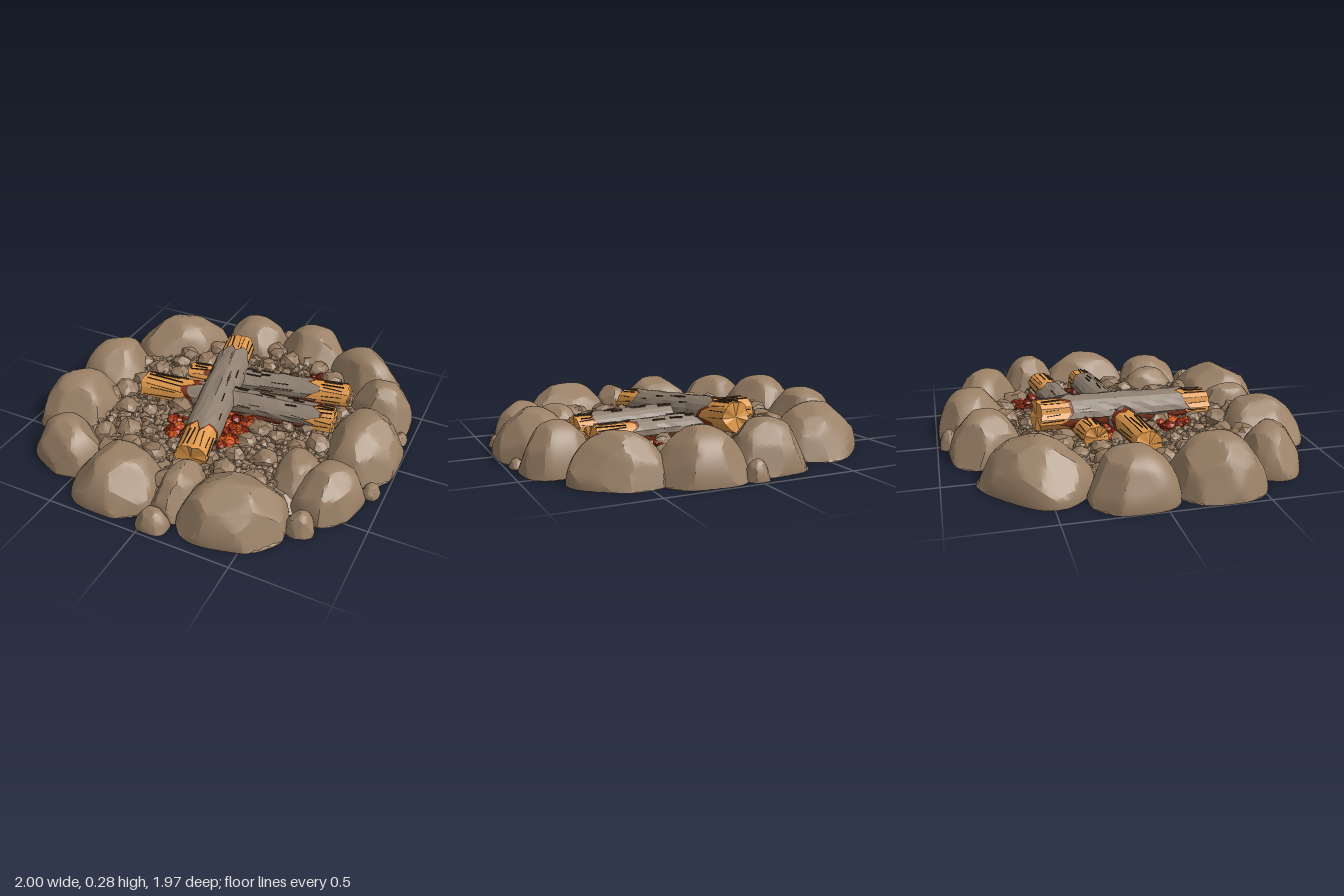
import * as THREE from 'three';
import { mergeGeometries, mergeVertices, toCreasedNormals } from 'three/addons/utils/BufferGeometryUtils.js';

const mat = (name, color, extra = {}) => Object.assign(new THREE.MeshStandardMaterial({ color, ...extra }), { name });

// small seeded random generator
let seed = 7;
const rnd = (a = 0, b = 1) => {
  seed = (seed * 16807) % 2147483647;
  return a + (b - a) * (seed / 2147483647);
};

function add(parent, name, geo, material) {
  const mesh = new THREE.Mesh(geo, material);
  mesh.name = name;
  parent.add(mesh);
  return mesh;
}

// boulder: tapering dome with a rounded-box plan, trimmed by random planes, flat on the ground
function boulderGeometry(rx, rz, h) {
  const cuts = [];
  for (let i = 0; i < 16; i++) {
    const n = new THREE.Vector3(rnd(-1, 1), rnd(0.15, 0.9), rnd(-1, 1)).normalize();
    cuts.push({ n, d: rnd(0.92, 1.02) });
  }
  const geo = new THREE.IcosahedronGeometry(1, 9);
  geo.deleteAttribute('normal');
  geo.deleteAttribute('uv');
  const pos = geo.attributes.position, v = new THREE.Vector3(), p = 3, lift = h * 0.07;
  for (let i = 0; i < pos.count; i++) {
    v.fromBufferAttribute(pos, i).normalize();
    const plan = (Math.abs(v.x) ** p + Math.abs(v.z) ** p) ** (1 / p);
    let r = (plan ** 2.2 + Math.abs(v.y) ** 2.2) ** (-1 / 2.2);
    for (const { n, d } of cuts) {
      const c = n.dot(v);
      if (c > 0.1) r = Math.min(r, d / c);
    }
    const taper = 1 - 0.12 * Math.max(0, v.y * r);
    pos.setXYZ(i, v.x * r * rx * taper, Math.max(0, lift + v.y * r * (h - lift)), v.z * r * rz * taper);
  }
  return toCreasedNormals(mergeVertices(geo, 1e-4), 0.3);
}

// small angular lump
function lumpGeometry(x, y, z, r, detail = 0) {
  const geo = mergeVertices(new THREE.IcosahedronGeometry(r, detail).deleteAttribute('normal').deleteAttribute('uv'), 1e-5);
  const pos = geo.attributes.position;
  for (let i = 0; i < pos.count; i++) {
    const k = rnd(0.8, 1.15);
    pos.setXYZ(i, pos.getX(i) * k, pos.getY(i) * k * 0.8, pos.getZ(i) * k);
  }
  geo.rotateY(rnd(0, 6.28)).translate(x, y, z);
  return geo;
}

// log along local x: ridged wood core, charred layer, ragged bark on the upper side, cracks
function buildLog(name, a, b, r, endA, endB, charA, charB, m) {
  const log = new THREE.Group();
  log.name = name;
  const start = new THREE.Vector3(...a), end = new THREE.Vector3(...b);
  const len = start.distanceTo(end), sides = 18, half = len / 2;
  log.position.copy(start).add(end).multiplyScalar(0.5);
  // turn first about y, then tilt, so local y stays upward
  const dir = end.clone().sub(start).normalize();
  log.rotation.set(0, Math.atan2(-dir.z, dir.x), Math.asin(dir.y), 'YXZ');
  const shape = Array.from({ length: sides }, () => rnd(0.92, 1.07));
  const ragA = Array.from({ length: sides }, () => rnd(-0.055, 0.055));
  const ragB = Array.from({ length: sides }, () => rnd(-0.055, 0.055));

  const tube = (x0, x1, k, under, ragged, ridge, open) => {
    const geo = new THREE.CylinderGeometry(1, 1, 1, sides, 10, open).rotateZ(-Math.PI / 2);
    const pos = geo.attributes.position;
    const bump = Array.from({ length: sides * 11 }, () => rnd(0.955, 1.04));
    for (let i = 0; i < pos.count; i++) {
      const x = pos.getX(i), y = pos.getY(i), z = pos.getZ(i), t = x + 0.5;
      const s = (Math.round(Math.atan2(z, y) / (2 * Math.PI) * sides) + sides) % sides;
      const q = r * (y < -0.2 ? under : k) * shape[s] * (ridge ? (s % 2 ? 0.92 : 1) : bump[s * 11 + Math.round(t * 10)]);
      const rag = ragged * (ragA[s] * (1 - t) + ragB[s] * t);
      pos.setXYZ(i, x0 + (x1 - x0) * t + rag, y * q * 0.95, z * q);
    }
    return geo;
  };
  add(log, 'wood', tube(-half, half, 0.95, 0.95, 0.2, true, false), m.wood);
  add(log, 'charredLayer', tube(-half + endA, half - endB, 0.98, 0.99, 1, false, true), m.char);
  add(log, 'bark', tube(-half + endA + charA, half - endB - charB, 1.05, 0.9, 1, false, true), m.bark);

  // thin dark strips running with the grain
  const strips = [];
  const strip = (x, ang, l, w, k) => {
    const g = new THREE.BoxGeometry(l, 0.008, w).rotateY(rnd(-0.1, 0.1));
    g.translate(x, r * k, 0).rotateX(ang);
    strips.push(g);
  };
  for (let i = 0; i < 16; i++) {
    strip(rnd(-half + endA + charA + 0.06, half - endB - charB - 0.06), rnd(-1.6, 1.6), rnd(0.04, 0.11), rnd(0.003, 0.008), 1);
  }
  for (const [s, e] of [[-1, endA], [1, endB]]) {
    for (let i = 0; i < 10; i++) strip(s * (half - e * 0.5), -1.6 + i * 0.36 + rnd(-0.1, 0.1), e * rnd(0.5, 0.95), 0.003, 0.895);
  }
  add(log, 'cracks', mergeGeometries(strips), m.crack);
  return log;
}

export function createModel() {
  const model = new THREE.Group();
  model.name = 'campfire';
  const m = {
    stone: mat('stone', 0x9a8066),
    pebble: mat('pebble', 0x94795f, { flatShading: true }),
    bark: mat('bark', 0x8c7d6d, { flatShading: true, side: THREE.DoubleSide }),
    wood: mat('cut wood', 0xdf984a, { flatShading: true }),
    char: mat('charred wood', 0x7a3018, { flatShading: true, side: THREE.DoubleSide }),
    crack: mat('dark crack', 0x4a3626),
    dim: mat('dim ember', 0x7a2210, { flatShading: true }),
    ember: mat('red ember', 0xa52f10, { flatShading: true }),
    hot: mat('hot ember', 0xdc5a1c, { flatShading: true }),
  };

  // ring of boulders: x, z, half width, half depth, height, turn
  const ring = new THREE.Group();
  ring.name = 'boulderRing';
  model.add(ring);
  [
    [-0.58, -0.55, 0.295, 0.215, 0.255, 0.75], [-0.15, -0.75, 0.205, 0.19, 0.25, 0.1],
    [0.22, -0.79, 0.215, 0.195, 0.25, -0.1], [0.59, -0.69, 0.23, 0.17, 0.24, -0.6],
    [0.78, -0.39, 0.18, 0.16, 0.25, 0.1], [0.80, -0.04, 0.20, 0.265, 0.25, 0],
    [0.75, 0.38, 0.16, 0.20, 0.21, -0.25], [0.57, 0.33, 0.13, 0.18, 0.19, 0.2],
    [0.38, 0.71, 0.27, 0.22, 0.24, 0.25], [0.09, 0.69, 0.115, 0.19, 0.21, -0.08],
    [-0.24, 0.75, 0.23, 0.225, 0.235, 0], [-0.62, 0.645, 0.205, 0.16, 0.235, -0.4],
    [-0.78, 0.30, 0.22, 0.235, 0.27, 0], [-0.80, -0.12, 0.20, 0.22, 0.255, 0],
    [-0.005, -0.93, 0.06, 0.055, 0.1, 0], [0.05, 0.915, 0.085, 0.07, 0.1, 0],
    [0.70, 0.63, 0.07, 0.07, 0.11, 0.4], [0.93, 0.235, 0.045, 0.055, 0.06, 0],
    [0.945, -0.25, 0.035, 0.05, 0.05, 0],
  ].forEach(([x, z, rx, rz, h, turn], i) => {
    const b = add(ring, 'boulder' + (i + 1), boulderGeometry(rx, rz, h), m.stone);
    b.position.set(x, 0, z);
    b.rotation.y = turn;
  });

  // ground under the fire
  add(model, 'groundBed', new THREE.CylinderGeometry(0.76, 0.84, 0.07, 40).translate(0, 0.035, 0), m.stone);

  // ember patches: x, z, half width, half depth, share of hot embers, share of dim embers
  const patches = [[0.32, -0.2, 0.31, 0.1, 0.12, 0.4], [0.08, -0.2, 0.12, 0.1, 0.5, 0.1],
    [0.36, -0.46, 0.11, 0.085, 0.06, 0.6], [-0.16, 0.26, 0.075, 0.1, 0.25, 0.3],
    [0.1, 0.15, 0.13, 0.19, 0.4, 0.2], [-0.15, -0.07, 0.14, 0.13, 0.3, 0.3]];
  const dim = [], embers = [], hot = [];
  for (const [x, z, rx, rz, hotShare, dimShare] of patches) {
    const count = Math.round(rx * rz * 1800) + 12;
    dim.push(mergeVertices(new THREE.CylinderGeometry(1, 1, 0.008, 16).deleteAttribute('uv').deleteAttribute('normal')
      .scale(rx * 0.9, 1, rz * 0.9).translate(x, 0.078, z)));
    for (let i = 0; i < count; i++) {
      const t = rnd(0, 6.28), k = Math.sqrt(rnd()), pick = rnd();
      const list = pick < hotShare ? hot : pick > 1 - dimShare ? dim : embers;
      list.push(lumpGeometry(x + rx * k * Math.cos(t), rnd(0.075, 0.095), z + rz * k * Math.sin(t), rnd(0.016, 0.038)));
    }
  }
  add(model, 'dimEmbers', mergeGeometries(dim), m.dim);
  add(model, 'redEmbers', mergeGeometries(embers), m.ember);
  add(model, 'hotEmbers', mergeGeometries(hot), m.hot);

  // gravel filling the bed, larger stones spaced apart
  const inEmbers = (x, z) => patches.some(([px, pz, rx, rz]) => ((x - px) / rx) ** 2 + ((z - pz) / rz) ** 2 < 0.8);
  const gravel = [], big = [];
  for (let i = 0; i < 1700; i++) {
    const t = rnd(0, 6.28), k = 0.72 * Math.sqrt(rnd());
    const x = k * Math.cos(t), z = k * Math.sin(t);
    if (inEmbers(x, z)) continue;
    const isBig = i < 300 && big.every(([bx, bz]) => Math.hypot(x - bx, z - bz) > 0.1);
    if (isBig) big.push([x, z]);
    gravel.push(lumpGeometry(x, isBig ? 0.085 : 0.075, z, isBig ? rnd(0.045, 0.075) : rnd(0.016, 0.036), isBig ? 1 : 0));
  }
  add(model, 'gravel', mergeGeometries(gravel), m.pebble);

  // crossed logs
  model.add(
    buildLog('topLog', [-0.15, 0.195, -0.48], [0.045, 0.12, 0.52], 0.096, 0.14, 0.16, 0.01, 0.01, m),
    buildLog('middleLog', [-0.51, 0.125, 0.04], [0.6, 0.125, -0.1], 0.083, 0.27, 0.1, 0.04, 0.01, m),
    buildLog('backLog', [-0.33, 0.11, -0.19], [0.6, 0.13, -0.355], 0.077, 0.13, 0.19, 0.04, 0.01, m),
  );
  return model;
}
